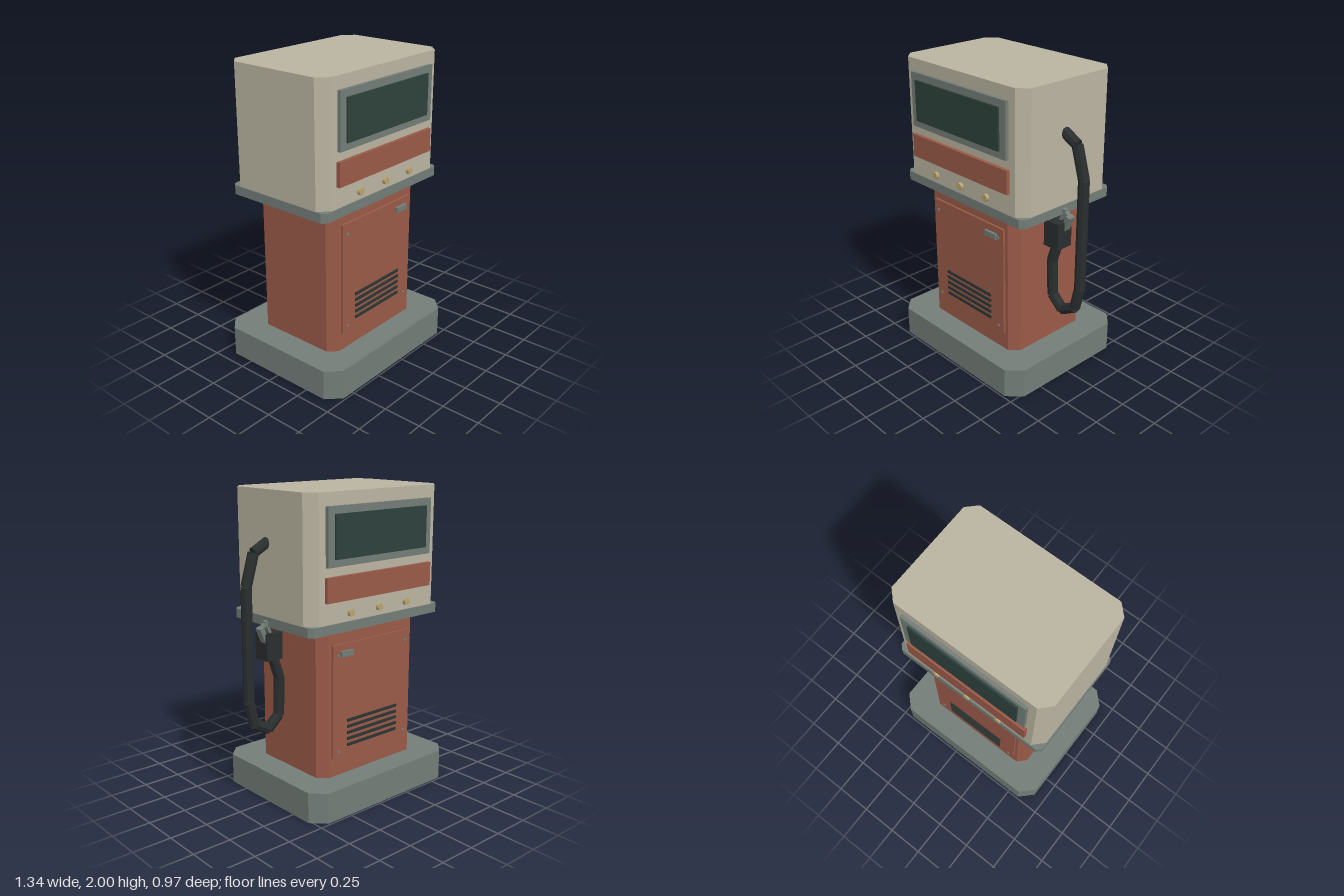
import * as THREE from 'three';

const mat = (color) => new THREE.MeshStandardMaterial({ color, flatShading: true });
const CX = -0.075; // cabinet centre line; the hose sits beyond its left side

export function createModel() {
  const root = new THREE.Group();
  const cream = mat(0xbab4a0), red = mat(0x9a5a48), grey = mat(0x737d78);
  const glass = mat(0x2e423d), black = mat(0x2a2e2e), gold = mat(0xb9a573), dark = mat(0x2c3432);

  function add(parent, name, geometry, material, x = 0, y = 0, z = 0) {
    const mesh = new THREE.Mesh(geometry, material);
    mesh.name = name;
    mesh.position.set(x, y, z);
    parent.add(mesh);
    return mesh;
  }

  // Upright block with chamfered vertical corners
  function block(name, w, d, c, y0, y1, material) {
    const x = w / 2, z = d / 2;
    const shape = new THREE.Shape([
      [x - c, -z], [x, -z + c], [x, z - c], [x - c, z],
      [-x + c, z], [-x, z - c], [-x, -z + c], [-x + c, -z],
    ].map(([a, b]) => new THREE.Vector2(a, b)));
    const geo = new THREE.ExtrudeGeometry(shape, { depth: y1 - y0, bevelEnabled: false });
    geo.rotateX(-Math.PI / 2);
    add(root, name, geo, material, CX, y0, 0);
  }

  // Box given by its x, y and z limits
  function slab(parent, name, x0, x1, y0, y1, z0, z1, material) {
    return add(parent, name, new THREE.BoxGeometry(x1 - x0, y1 - y0, z1 - z0), material,
      (x0 + x1) / 2, (y0 + y1) / 2, (z0 + z1) / 2);
  }

  // Straight rod between two points
  function rod(parent, name, a, b, r, sides, material) {
    const dir = b.clone().sub(a);
    const geo = new THREE.CylinderGeometry(r, r, dir.length(), sides);
    const mesh = add(parent, name, geo, material);
    mesh.position.copy(a).add(b).multiplyScalar(0.5);
    mesh.quaternion.setFromUnitVectors(new THREE.Vector3(0, 1, 0), dir.normalize());
  }

  // Main cabinet
  block('base', 1.19, 0.974, 0.088, 0, 0.2, grey);
  block('lowerCabinet', 0.83, 0.64, 0.056, 0.2, 1.16, red);
  block('tray', 1.116, 0.776, 0.03, 1.16, 1.22, grey);
  block('head', 1.106, 0.762, 0.066, 1.22, 2, cream);

  // The same fittings on front (s = 1) and back (s = -1)
  for (const s of [1, -1]) {
    const face = new THREE.Group();
    face.name = s > 0 ? 'frontFittings' : 'backFittings';
    root.add(face);
    const panel = (name, x0, x1, y0, y1, z0, z1, m) =>
      slab(face, name, x0, x1, y0, y1, Math.min(s * z0, s * z1), Math.max(s * z0, s * z1), m);
    const stud = (name, x, y, z0, z1, r, sides, m) =>
      add(face, name, new THREE.CylinderGeometry(r, r, z1 - z0, sides).rotateX(Math.PI / 2),
        m, x, y, s * (z0 + z1) / 2);

    // Display and lower band
    panel('displayFrame', -0.51, 0.36, 1.565, 1.92, 0.37, 0.403, grey);
    panel('displayGlass', -0.46, 0.307, 1.61, 1.875, 0.39, 0.415, glass);
    panel('accentBand', -0.52, 0.367, 1.355, 1.507, 0.37, 0.405, red);
    for (const x of [-0.24, 0, 0.24]) stud('button', CX + x, 1.273, 0.37, 0.402, 0.023, 12, gold);

    // Service door
    panel('serviceDoor', -0.413, 0.26, 0.325, 1.067, 0.31, 0.335, red);
    panel('doorHandle', 0.105, 0.207, 0.988, 1.024, 0.33, 0.354, grey);
    for (const x of [-0.37, 0.215]) for (const y of [0.366, 0.998])
      stud('doorScrew', x, y, 0.33, 0.342, 0.011, 8, grey);
    for (let i = 0; i < 5; i++) {
      const y = 0.396 + i * 0.0412;
      panel('ventSlat', -0.295, 0.142, y - 0.009, y + 0.009, 0.33, 0.344, dark);
    }
  }

  // Hose made of short straight sections
  const hose = new THREE.Group();
  hose.name = 'hose';
  root.add(hose);
  const path = [
    [0.465, 1.685], [0.572, 1.628], [0.632, 1.425], [0.632, 0.7], [0.597, 0.545],
    [0.49, 0.485], [0.402, 0.563], [0.393, 0.81], [0.445, 0.97],
  ].map(([x, y]) => new THREE.Vector3(x, y, 0.034));
  for (let i = 1; i < path.length; i++) rod(hose, 'hoseSection', path[i - 1], path[i], 0.035, 8, black);

  // Nozzle hanging beside the cabinet
  const nozzle = new THREE.Group();
  nozzle.name = 'nozzle';
  root.add(nozzle);
  slab(nozzle, 'nozzleGrip', 0.392, 0.512, 0.943, 1.118, -0.004, 0.115, black);
  const spout = add(nozzle, 'nozzleSpout', new THREE.BoxGeometry(0.032, 0.16, 0.05), grey, 0.506, 1.085, 0.035);
  spout.rotation.z = -0.4;
  const lever = add(nozzle, 'nozzleLever', new THREE.BoxGeometry(0.018, 0.11, 0.03), grey, 0.476, 1.145, 0.035);
  lever.rotation.z = -0.4;
  const guard = add(nozzle, 'nozzleGuard', new THREE.BoxGeometry(0.075, 0.018, 0.03), grey, 0.506, 1.17, 0.035);
  guard.rotation.z = -0.65;

  return root;
}
